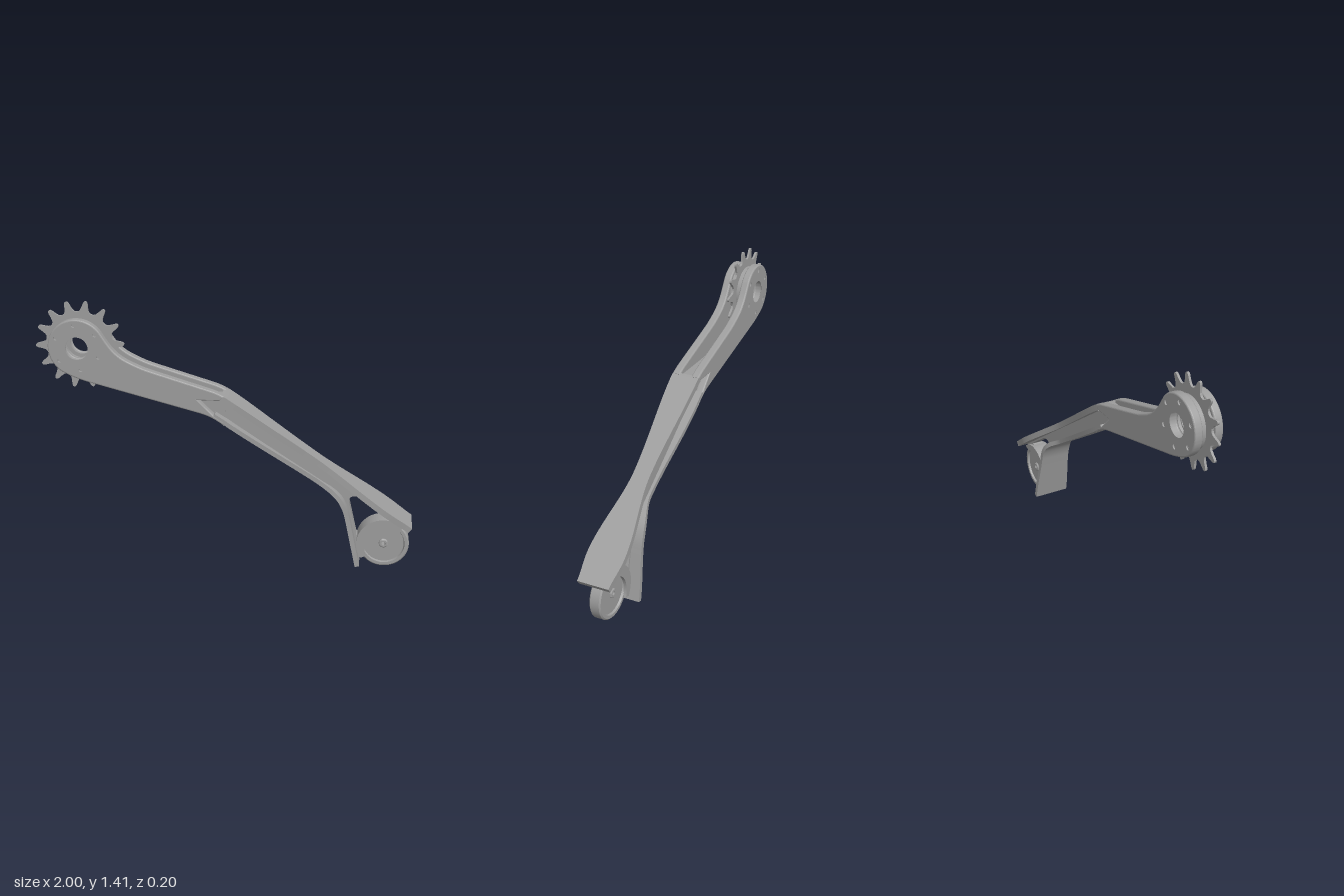
import * as THREE from 'three';
import { toCreasedNormals } from 'three/addons/utils/BufferGeometryUtils.js';

const HUB = [-0.765, 1.178], WHEEL = [0.857, 0.137], DEG = Math.PI / 180;
const v2 = ([x, y]) => new THREE.Vector2(x, y);

// Eased lookup of a value along x
function keyed(keys) {
  return x => {
    if (x <= keys[0][0]) return keys[0][1];
    for (let i = 1; i < keys.length; i++) {
      const [x0, a] = keys[i - 1], [x1, b] = keys[i];
      if (x <= x1) return THREE.MathUtils.lerp(a, b, THREE.MathUtils.smoothstep(x, x0, x1));
    }
    return keys[keys.length - 1][1];
  };
}

// Flat part between z0 and z1
function slab(shape, z0, z1, bevel = 0) {
  const g = new THREE.ExtrudeGeometry(shape, {
    depth: z1 - z0 - 2 * bevel, curveSegments: 32, bevelEnabled: bevel > 0,
    bevelSize: bevel, bevelThickness: bevel, bevelOffset: -bevel, bevelSegments: 3,
  });
  g.translate(0, 0, z0 + bevel);
  return toCreasedNormals(g, 0.24);
}

// Strip swept along a path, thickened to the right of travel, width varying with x
function flange(points, thickness, halfWidth) {
  const curve = new THREE.CatmullRomCurve3(points.map(([x, y]) => new THREE.Vector3(x, y, 0)), false, 'centripetal');
  const n = 90, pos = [], idx = [];
  for (let i = 0; i <= n; i++) {
    const p = curve.getPointAt(i / n), t = curve.getTangentAt(i / n), w = halfWidth(p.x);
    const qx = p.x + t.y * thickness, qy = p.y - t.x * thickness;
    pos.push(p.x, p.y, w, p.x, p.y, -w, qx, qy, -w, qx, qy, w);
    for (let j = 0; j < 4 && i < n; j++) {
      const k = (j + 1) % 4, a = i * 4 + j, b = a + 4, c = i * 4 + 4 + k, d = i * 4 + k;
      idx.push(a, b, c, a, c, d);
    }
  }
  const e = n * 4;
  idx.push(0, 1, 2, 0, 2, 3, e, e + 2, e + 1, e, e + 3, e + 2);
  const g = new THREE.BufferGeometry();
  g.setAttribute('position', new THREE.Float32BufferAttribute(pos, 3));
  g.setIndex(idx);
  return toCreasedNormals(g, 0.6);
}

// Turned part whose axis runs along z; profile is [radius, z]
function turned(profile, segments) {
  const g = new THREE.LatheGeometry(profile.map(v2), segments);
  g.rotateX(Math.PI / 2);
  return toCreasedNormals(g, 0.6);
}

function circleHole(x, y, r) {
  return new THREE.Path().absarc(x, y, r, 0, Math.PI * 2, true);
}

export function createModel() {
  const model = new THREE.Group();
  const material = new THREE.MeshStandardMaterial({ color: 0x9e9e9e, side: THREE.DoubleSide });
  const add = (name, geometry, x = 0, y = 0) => {
    const mesh = new THREE.Mesh(geometry, material);
    mesh.name = name;
    mesh.position.set(x, y, 0);
    model.add(mesh);
    return mesh;
  };

  // Bolt positions around the hub
  const bolts = [];
  for (let i = 0; i < 6; i++) {
    const a = (97 + 60 * i) * DEG;
    bolts.push([HUB[0] + 0.12 * Math.cos(a), HUB[1] + 0.12 * Math.sin(a)]);
  }

  // Side plates: hub ring flowing into the upper arm, ending in a chevron
  const plate = new THREE.Shape();
  plate.moveTo(0, 0.787);
  plate.quadraticCurveTo(-0.05, 0.83, -0.12, 0.85);
  plate.lineTo(-0.68, 0.99);
  plate.quadraticCurveTo(-0.79, 1.015, HUB[0] + 0.153 * Math.cos(234 * DEG), HUB[1] + 0.153 * Math.sin(234 * DEG));
  plate.absarc(HUB[0], HUB[1], 0.153, 234 * DEG, 35 * DEG, true);
  plate.splineThru([[-0.585, 1.185], [-0.53, 1.135], [-0.45, 1.095], [-0.37, 1.067],
    [-0.1, 0.988], [-0.04, 0.969], [0, 0.95]].map(v2));
  for (const p of [[-0.02, 0.925], [-0.137, 0.925], [-0.055, 0.845], [0, 0.81]]) plate.lineTo(...p);
  plate.closePath();
  plate.holes.push(circleHole(...HUB, 0.068), ...bolts.map(([x, y]) => circleHole(x, y, 0.02)));
  add('leftSidePlate', slab(plate, 0.032, 0.076, 0.008));
  add('rightSidePlate', slab(plate, -0.076, -0.032, 0.008));

  // Core between the plates, leaving the slot behind the sprocket open
  const core = new THREE.Shape([[-0.37, 0.912], [-0.1, 0.845], [0, 0.79], [0.01, 0.94],
    [-0.05, 0.94], [-0.37, 0.938]].map(v2));
  add('armCore', slab(core, -0.034, 0.034));

  // Spacer disc inside the hub
  const spacer = new THREE.Shape().absarc(...HUB, 0.135, 0, Math.PI * 2);
  spacer.holes.push(circleHole(...HUB, 0.08));
  add('hubSpacer', slab(spacer, -0.034, 0.034));

  // Sprocket with 14 rounded teeth
  const outline = [], pitch = 360 / 14;
  for (let i = 0; i < 14; i++) {
    for (const [da, r] of [[-pitch / 2, 0.177], [-9.5, 0.179], [-6.8, 0.187], [-4.6, 0.204], [-3, 0.224],
      [-1.7, 0.233], [0, 0.236], [1.7, 0.233], [3, 0.224], [4.6, 0.204], [6.8, 0.187], [9.5, 0.179]]) {
      const a = (80 + pitch * i + da) * DEG;
      outline.push(new THREE.Vector2(HUB[0] + r * Math.cos(a), HUB[1] + r * Math.sin(a)));
    }
  }
  const sprocket = new THREE.Shape(outline);
  sprocket.holes.push(circleHole(...HUB, 0.073));
  add('sprocket', slab(sprocket, -0.006, 0.006));

  // Socket bolts sunk into both plates
  const boltGeo = turned([[0, 0.05], [0.011, 0.05], [0.011, 0.064], [0.0205, 0.064], [0.0205, 0.034], [0, 0.034]], 24);
  for (const [x, y] of bolts) {
    add('leftHubBolt', boltGeo, x, y);
    add('rightHubBolt', boltGeo, x, y).rotation.y = Math.PI;
  }

  // Upper flange, waisted then flared at the tip
  add('upperFlange', flange([[-0.015, 0.952], [0, 0.948], [0.05, 0.917], [0.25, 0.78], [0.5, 0.608],
    [0.75, 0.436], [1, 0.263]], 0.032, keyed([[0, 0.075], [0.49, 0.046], [0.87, 0.1], [1, 0.086]])));

  // Lower flange, turning down into the wheel guard leg
  add('lowerFlange', flange([[0.71, 0.022], [0.677, 0.165], [0.65, 0.28], [0.635, 0.335], [0.61, 0.385], [0.575, 0.422],
    [0.5, 0.47], [0.25, 0.63], [0.04, 0.767], [-0.02, 0.807], [-0.06, 0.832]], 0.024,
  keyed([[0, 0.075], [0.48, 0.045], [0.64, 0.086], [0.71, 0.1]])));

  // Web joining the flanges, with the triangular window and wheel cut-out
  const web = new THREE.Shape();
  web.moveTo(-0.14, 0.935);
  web.lineTo(0, 0.935);
  web.lineTo(0.968, 0.266);
  web.absarc(...WHEEL, 0.136, 46 * DEG, 215 * DEG, false);
  for (const p of [[0.722, 0.03], [0.66, 0.28], [0.625, 0.38], [0.58, 0.43], [0, 0.805], [-0.14, 0.87]]) web.lineTo(...p);
  web.closePath();
  const win = new THREE.Path();
  win.moveTo(0.735, 0.395);
  win.lineTo(0.872, 0.301);
  win.quadraticCurveTo(0.897, 0.283, 0.875, 0.283);
  win.absarc(...WHEEL, 0.146, 84 * DEG, 160 * DEG, false);
  win.quadraticCurveTo(0.712, 0.17, 0.707, 0.19);
  win.lineTo(0.664, 0.37);
  win.quadraticCurveTo(0.66, 0.405, 0.69, 0.407);
  win.quadraticCurveTo(0.715, 0.41, 0.735, 0.395);
  web.holes.push(win);
  add('armWeb', slab(web, -0.03, 0.03));

  // Crescent fender over both faces of the wheel
  const fender = new THREE.Shape();
  fender.absarc(...WHEEL, 0.146, 46 * DEG, 216 * DEG, false);
  fender.absarc(WHEEL[0] + 0.03, WHEEL[1] - 0.03, 0.13, 200 * DEG, 70 * DEG, true);
  fender.closePath();
  add('leftFender', slab(fender, 0.029, 0.046));
  add('rightFender', slab(fender, -0.046, -0.029));

  // Wheel with dished faces, raised boss and axle bore
  const face = [[0.011, 0.03], [0.02, 0.03], [0.025, 0.026], [0.025, 0.02], [0.108, 0.02], [0.112, 0.031],
    [0.128, 0.031], [0.135, 0.024]];
  const back = face.map(([r, z]) => [r, -z]);
  add('wheel', turned([...back, ...face.slice().reverse(), back[0]], 64), ...WHEEL);

  return model;
}
